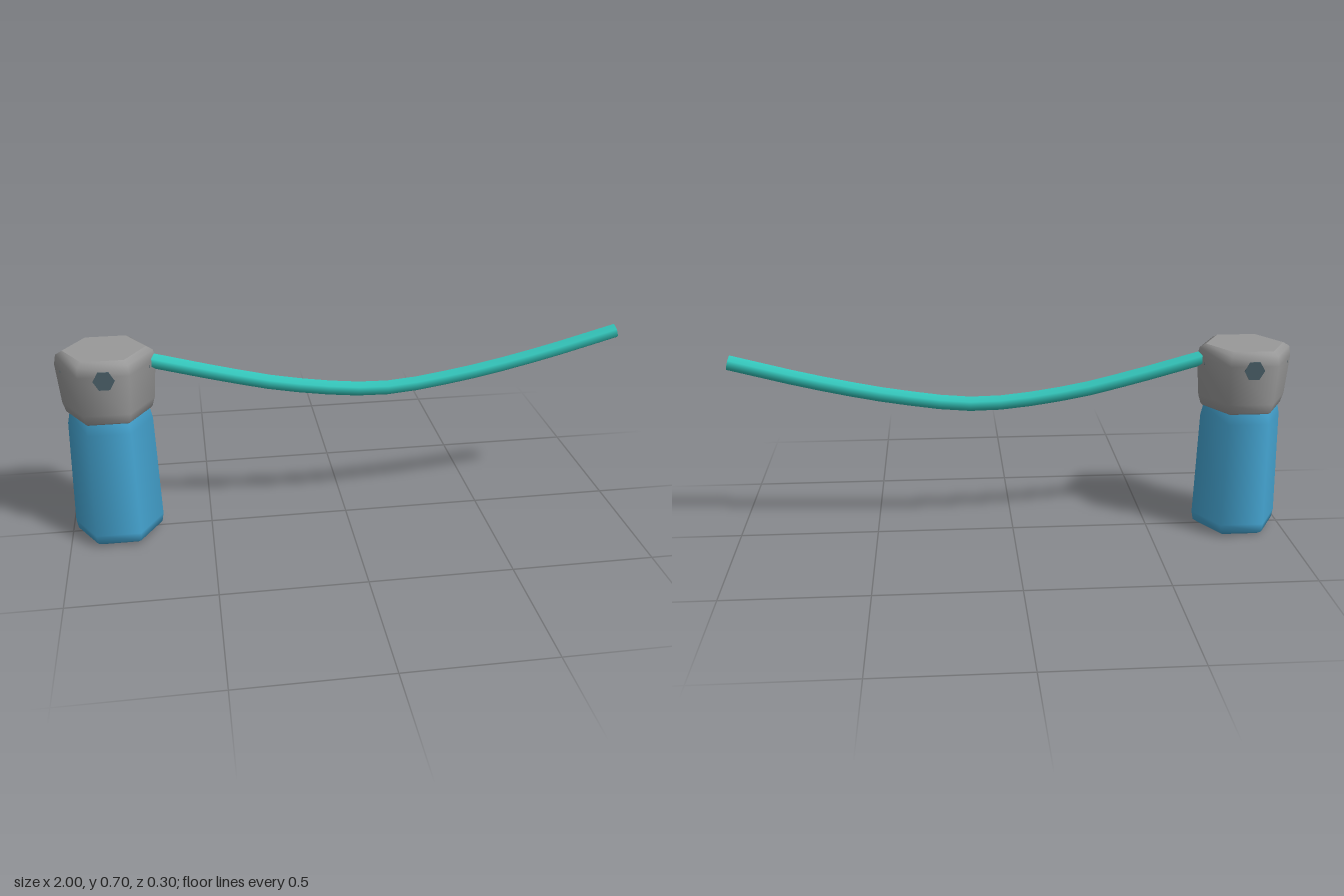
import * as THREE from 'three';

const POST_X = -0.83;
const APOTHEM = Math.cos(Math.PI / 6);

// Six-sided turned body; profile is [apothem, y] from bottom to top, with flat lids.
function hexBody(name, profile, material) {
  const group = new THREE.Group();
  group.name = name;
  const pts = profile.map(([a, y]) => new THREE.Vector2(a / APOTHEM, y));
  const wall = new THREE.Mesh(new THREE.LatheGeometry(pts, 6, Math.PI / 6), material);
  wall.name = name + 'Wall';
  group.add(wall);
  [[pts[0], 1, 'Underside'], [pts[pts.length - 1], -1, 'Top']].forEach(([p, dir, label]) => {
    const lid = new THREE.Mesh(new THREE.CircleGeometry(p.x, 6), material);
    lid.name = name + label;
    lid.rotation.x = dir * Math.PI / 2;
    lid.position.y = p.y;
    group.add(lid);
  });
  group.position.x = POST_X;
  return group;
}

// Bends an open six-sided cylinder along a curve lying in the xy plane.
function hexCable(curve, radius, steps) {
  const geo = new THREE.CylinderGeometry(radius, radius, 1, 6, steps, true, Math.PI / 6);
  const pos = geo.attributes.position;
  const nor = geo.attributes.normal;
  for (let i = 0; i < pos.count; i++) {
    const t = THREE.MathUtils.clamp(pos.getY(i) + 0.5, 0, 1);
    const c = curve.getPointAt(t);
    const d = curve.getTangentAt(t);
    const x = pos.getX(i);
    const nx = nor.getX(i);
    pos.setXYZ(i, c.x + d.y * x, c.y - d.x * x, pos.getZ(i));
    nor.setXYZ(i, d.y * nx, -d.x * nx, nor.getZ(i));
  }
  return geo;
}

export function createModel() {
  const model = new THREE.Group();
  model.name = 'cablePost';

  const blue = new THREE.MeshStandardMaterial({ color: 0x45a5d2 });
  blue.name = 'blue';
  const grey = new THREE.MeshStandardMaterial({ color: 0x999999 });
  grey.name = 'grey';
  const teal = new THREE.MeshStandardMaterial({ color: 0x35c9be, side: THREE.DoubleSide });
  teal.name = 'teal';
  const slate = new THREE.MeshStandardMaterial({ color: 0x4a5f68 });
  slate.name = 'slate';

  // Post and wider cap
  model.add(hexBody('post', [
    [0.11, 0], [0.13, 0.015], [0.135, 0.047], [0.126, 0.43], [0.119, 0.468],
  ], blue));
  model.add(hexBody('cap', [
    [0.118, 0.466], [0.127, 0.474], [0.136, 0.507], [0.147, 0.65], [0.141, 0.684], [0.121, 0.697],
  ], grey));

  // Sockets on the four sides of the cap
  [0.144, 0.149, 0.144, 0.149].forEach((reach, i) => {
    const angle = (i + 1) * Math.PI / 2;
    const onFace = i % 2 === 1;
    const out = onFace ? reach : 0.15;
    const geo = new THREE.CylinderGeometry(0.036, 0.036, 0.009, 6, 1, false, Math.PI / 6);
    geo.rotateX(Math.PI / 2);
    geo.translate(0, 0, out - 0.0045);
    const socket = new THREE.Mesh(geo, slate);
    socket.name = 'socket' + (i + 1);
    socket.rotation.y = angle;
    socket.position.set(POST_X, 0.635, 0);
    model.add(socket);
  });

  // Sagging cable
  const curve = new THREE.CatmullRomCurve3([
    [-0.69, 0.648], [-0.4, 0.57], [-0.2, 0.525], [0.12, 0.49],
    [0.4, 0.521], [0.7, 0.583], [0.993, 0.66],
  ].map(([x, y]) => new THREE.Vector3(x, y, 0)));
  const cable = new THREE.Mesh(hexCable(curve, 0.027, 16), teal);
  cable.name = 'cable';
  model.add(cable);

  return model;
}
